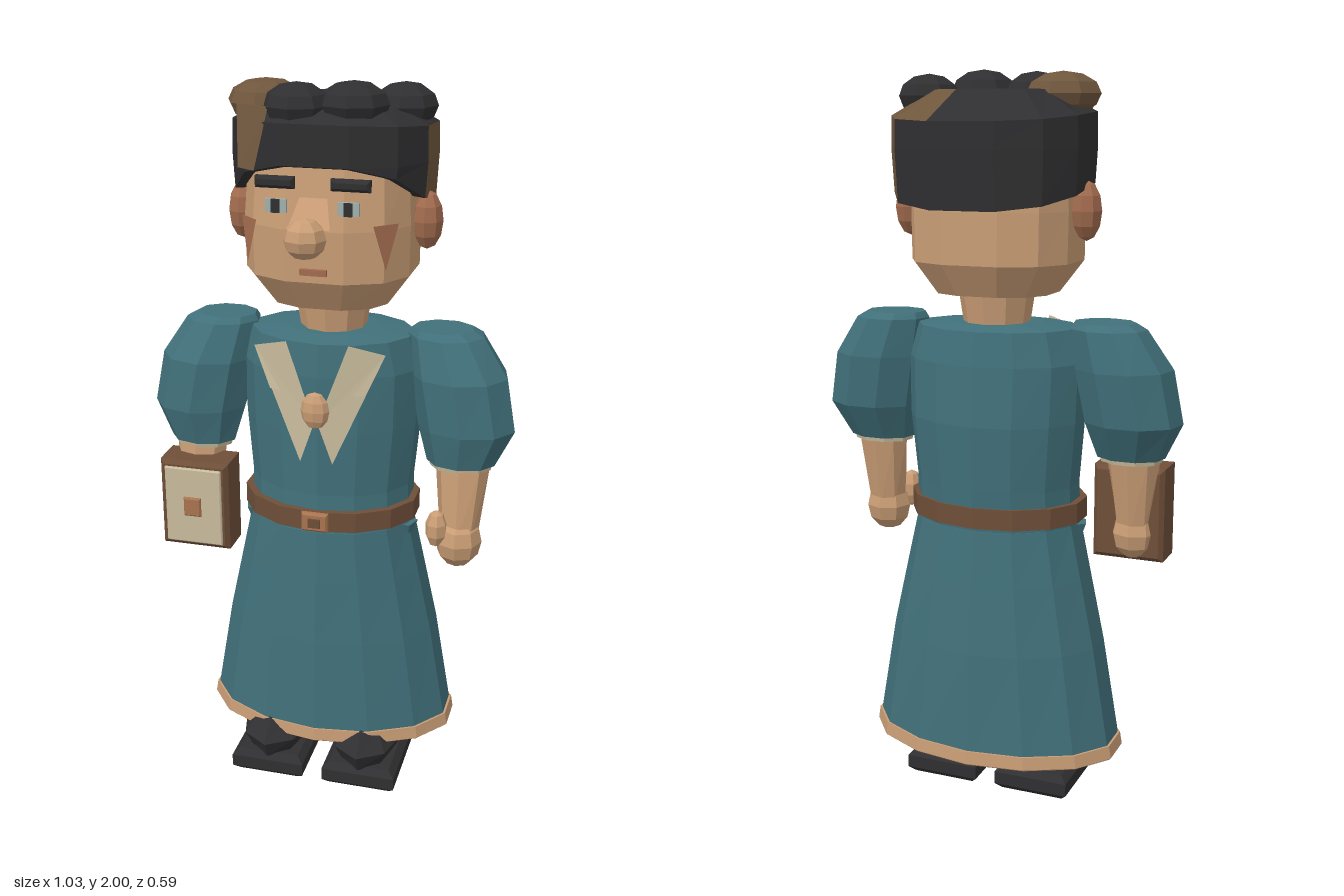
import * as THREE from 'three';

const mat = (name, color) => {
  const m = new THREE.MeshStandardMaterial({ color, flatShading: true, side: THREE.DoubleSide });
  m.name = name;
  return m;
};

export function createModel() {
  const teal = mat('teal cloth', 0x41707a), skin = mat('skin', 0xc99d75), blush = mat('blush', 0xa16b4e);
  const dark = mat('black hair and leather', 0x2f2f31), brown = mat('brown hair', 0x6f563d);
  const belt = mat('brown leather', 0x6e4e38), cream = mat('cream', 0xc9bc9d), eye = mat('eye', 0x9fb0ae);
  const tan = mat('tan metal', 0xa8744f);

  const model = new THREE.Group();
  const add = (name, geo, material, x = 0, y = 0, z = 0) => {
    const m = new THREE.Mesh(geo, material);
    m.name = name;
    m.position.set(x, y, z);
    model.add(m);
    return m;
  };

  // Rings run bottom to top: [y, centreX, centreZ, radiusX, radiusZ]; squareness < 1 makes boxier sections.
  const loft = (rings, n, { off = 0, sq = 1, height = (i, a, y) => y, paint } = {}) => {
    const spow = (v) => Math.sign(v) * Math.abs(v) ** sq;
    const pt = (i, j) => {
      const [y, cx, cz, rx, rz] = rings[i], a = ((j % n) + off) * 2 * Math.PI / n;
      return [cx + rx * spow(Math.sin(a)), height(i, a, y), cz + rz * spow(Math.cos(a))];
    };
    const mid = (i) => [rings[i][1], rings[i][0], rings[i][2]];
    const pos = [], geo = new THREE.BufferGeometry(), last = rings.length - 1;
    const face = (list, row, j) => {
      if (paint) geo.addGroup(pos.length / 3, list.length, paint(row, j));
      list.forEach((p) => pos.push(...p));
    };
    for (let j = 0; j < n; j++) {
      face([mid(0), pt(0, j + 1), pt(0, j)], -1, j);
      for (let i = 0; i < last; i++) {
        const a = pt(i, j), b = pt(i, j + 1), c = pt(i + 1, j + 1), d = pt(i + 1, j);
        face([a, b, c, a, c, d], i, j);
      }
      face([mid(last), pt(last, j), pt(last, j + 1)], last, j);
    }
    geo.setAttribute('position', new THREE.Float32BufferAttribute(pos, 3));
    geo.computeVertexNormals();
    return geo;
  };
  const ball = (rx, ry, rz, w = 8, h = 6) => new THREE.SphereGeometry(1, w, h).scale(rx, ry, rz);
  const box = (w, h, d) => new THREE.BoxGeometry(w, h, d);
  // Chamfered block
  const block = (w, h, d, b) => {
    const s = new THREE.Shape(), x = w / 2 - b, y = h / 2 - b;
    s.moveTo(-x, -y).lineTo(x, -y).lineTo(x, y).lineTo(-x, y).closePath();
    return new THREE.ExtrudeGeometry(s, { depth: d - 2 * b, bevelSize: b, bevelThickness: b, bevelSegments: 1 })
      .translate(0, 0, b - d / 2);
  };
  // Flat patch through three or four corners
  const patch = (...p) => {
    const g = new THREE.BufferGeometry();
    const list = p.length === 3 ? p : [p[0], p[1], p[2], p[0], p[2], p[3]];
    g.setAttribute('position', new THREE.Float32BufferAttribute(list.flat(), 3));
    g.computeVertexNormals();
    return g;
  };

  // Dress
  add('skirt', loft([[0.135, 0, -0.048, 0.365, 0.227], [0.45, 0, -0.046, 0.31, 0.213],
    [0.64, 0, -0.042, 0.268, 0.198], [0.79, 0, -0.038, 0.235, 0.184]], 14), teal);
  add('hem', loft([[0.132, 0, -0.048, 0.367, 0.229], [0.136, 0, -0.048, 0.371, 0.233],
    [0.172, 0, -0.048, 0.365, 0.23]], 14), skin);
  add('skirtUnderside', loft([[0.129, 0, -0.048, 0.355, 0.218], [0.14, 0, -0.048, 0.355, 0.218]], 14), teal);
  add('torso', loft([[0.79, 0, -0.038, 0.235, 0.18], [0.9, 0, -0.045, 0.232, 0.18],
    [1.08, 0, -0.05, 0.248, 0.185], [1.24, 0, -0.045, 0.252, 0.178],
    [1.33, 0, -0.042, 0.225, 0.165], [1.34, 0, -0.045, 0.13, 0.11]], 14), teal);
  add('belt', loft([[0.8, 0, -0.036, 0.252, 0.192], [0.857, 0, -0.036, 0.252, 0.192]], 14), belt);
  add('buckle', block(0.075, 0.055, 0.02, 0.006), tan, 0, 0.83, 0.157);
  add('bucklePlate', box(0.035, 0.026, 0.008), belt, 0, 0.83, 0.168);
  add('brooch', ball(0.04, 0.052, 0.025), skin, 0, 1.155, 0.152);

  for (const s of [1, -1]) {
    const side = s > 0 ? 'left' : 'right';
    // Collar lapels and dress pockets
    add(side + 'Lapel', patch([s * 0.18, 1.31, 0.106], [s * 0.085, 1.335, 0.13],
      [s * 0.005, 1.115, 0.146], [s * 0.045, 1.0, 0.142]), cream);
    add(side + 'LapelTip', patch([s * 0.18, 1.31, 0.107], [s * 0.1, 1.2, 0.139], [s * 0.13, 1.2, 0.132]), cream);
    add(side + 'Pocket', new THREE.ConeGeometry(0.04, 0.1, 5).rotateX(Math.PI), teal, s * 0.215, 0.735, -0.01);

    // Arm
    add(side + 'Sleeve', loft([[0.985, s * 0.372, -0.008, 0.095, 0.072], [1.085, s * 0.382, -0.025, 0.135, 0.112],
      [1.23, s * 0.355, -0.033, 0.135, 0.117], [1.335, s * 0.315, -0.045, 0.105, 0.088],
      [1.352, s * 0.305, -0.045, 0.085, 0.07]], 9), teal);
    add(side + 'Cuff', loft([[0.972, s * 0.372, -0.005, 0.085, 0.064], [0.99, s * 0.372, -0.005, 0.09, 0.068]], 9), cream);
    add(side + 'Forearm', loft([[0.77, s * 0.378, 0.028, 0.052, 0.055], [0.98, s * 0.378, 0, 0.075, 0.06]], 8), skin);
    add(side + 'Hand', ball(0.066, 0.078, 0.068), skin, s * 0.378, 0.765, 0.03);
    add(side + 'Thumb', ball(0.032, 0.055, 0.035, 7, 5), skin, s * 0.322, 0.807, 0.065);

    // Shoe
    const sole = block(0.215, 0.35, 0.072, 0.018).rotateX(-Math.PI / 2);
    add(side + 'Sole', sole, dark, s * 0.137, 0.036, 0.03);
    add(side + 'ShoeUpper', loft([[0.065, 0, 0, 0.08, 0.15], [0.12, 0, 0.01, 0.105, 0.165],
      [0.17, 0, 0, 0.065, 0.12], [0.185, 0, 0, 0.04, 0.08]], 8), dark, s * 0.137, 0, 0.05);
  }

  // Book held in the right hand
  add('bookCover', block(0.2, 0.262, 0.12, 0.012), belt, -0.365, 0.82, 0.06);
  add('bookPanel', block(0.165, 0.228, 0.012, 0.003), cream, -0.365, 0.82, 0.124);
  add('bookClasp', block(0.05, 0.056, 0.012, 0.004), tan, -0.365, 0.822, 0.136);

  // Neck and head
  add('neck', loft([[1.32, 0, -0.05, 0.088, 0.088], [1.45, 0, -0.05, 0.108, 0.108]], 10), skin);
  const boxy = { off: 0.5, sq: 0.8 };
  add('head', loft([[1.42, 0, -0.045, 0.165, 0.148], [1.505, 0, -0.042, 0.228, 0.203],
    [1.64, 0, -0.04, 0.23, 0.205], [1.8, 0, -0.045, 0.22, 0.188], [1.88, 0, -0.05, 0.2, 0.17]], 12, boxy), skin);
  add('noseTip', ball(0.056, 0.052, 0.055), skin, 0, 1.64, 0.24);
  add('noseBridge', patch([-0.055, 1.655, 0.205], [0.055, 1.655, 0.205], [0.036, 1.725, 0.158], [-0.036, 1.725, 0.158]), skin);
  add('mouth', box(0.07, 0.016, 0.012), blush, 0, 1.535, 0.163);
  for (const s of [1, -1]) {
    const side = s > 0 ? 'left' : 'right';
    add(side + 'Ear', ball(0.042, 0.078, 0.05), blush, s * 0.252, 1.64, -0.05);
    add(side + 'Eye', box(0.055, 0.034, 0.009), eye, s * 0.094, 1.704, 0.17);
    add(side + 'Pupil', box(0.022, 0.034, 0.008), dark, s * 0.094, 1.704, 0.176);
    add(side + 'Brow', block(0.102, 0.03, 0.028, 0.008), dark, s * 0.098, 1.762, 0.163);
    add(side + 'Cheek', patch([s * 0.207, 1.66, 0.1], [s * 0.153, 1.66, 0.152], [s * 0.183, 1.545, 0.135]), blush);
  }

  // Hair cap: hairline drops from the brow to the nape, with a brown patch at the back left
  const hairline = (i, a, y) => {
    const c = Math.cos(a);
    if (i === 0) return c > 0.9 ? 1.8 : c > 0.5 ? 1.77 : 1.695 + 0.05 * c;
    return i === 2 ? y + 0.02 * c : y;
  };
  add('hairCap', loft([[1.72, 0, -0.068, 0.262, 0.226], [1.8, 0, -0.07, 0.268, 0.23],
    [1.885, 0, -0.07, 0.266, 0.23], [1.945, 0, -0.06, 0.16, 0.13]], 12, {
    ...boxy, height: hairline,
    paint: (row, j) => ((row < 2 ? j === 2 || j === 3 : j === 3 || j === 4) ? 1 : 0),
  }), [dark, brown]);
  add('fringe', patch([-0.2, 1.79, 0.148], [-0.155, 1.785, 0.158], [-0.125, 1.94, 0.125], [-0.215, 1.94, 0.1]), brown);

  // Curls
  [[-0.172, 1.935, -0.015, 0.104, brown], [-0.068, 1.938, 0.065, 0.088, dark],
    [0.076, 1.943, 0.045, 0.092, dark], [0.184, 1.93, -0.07, 0.085, dark]].forEach(([x, y, z, r, m], i) =>
    add('curl' + (i + 1), ball(r, 0.057, r), m, x, y, z));

  return model;
}
